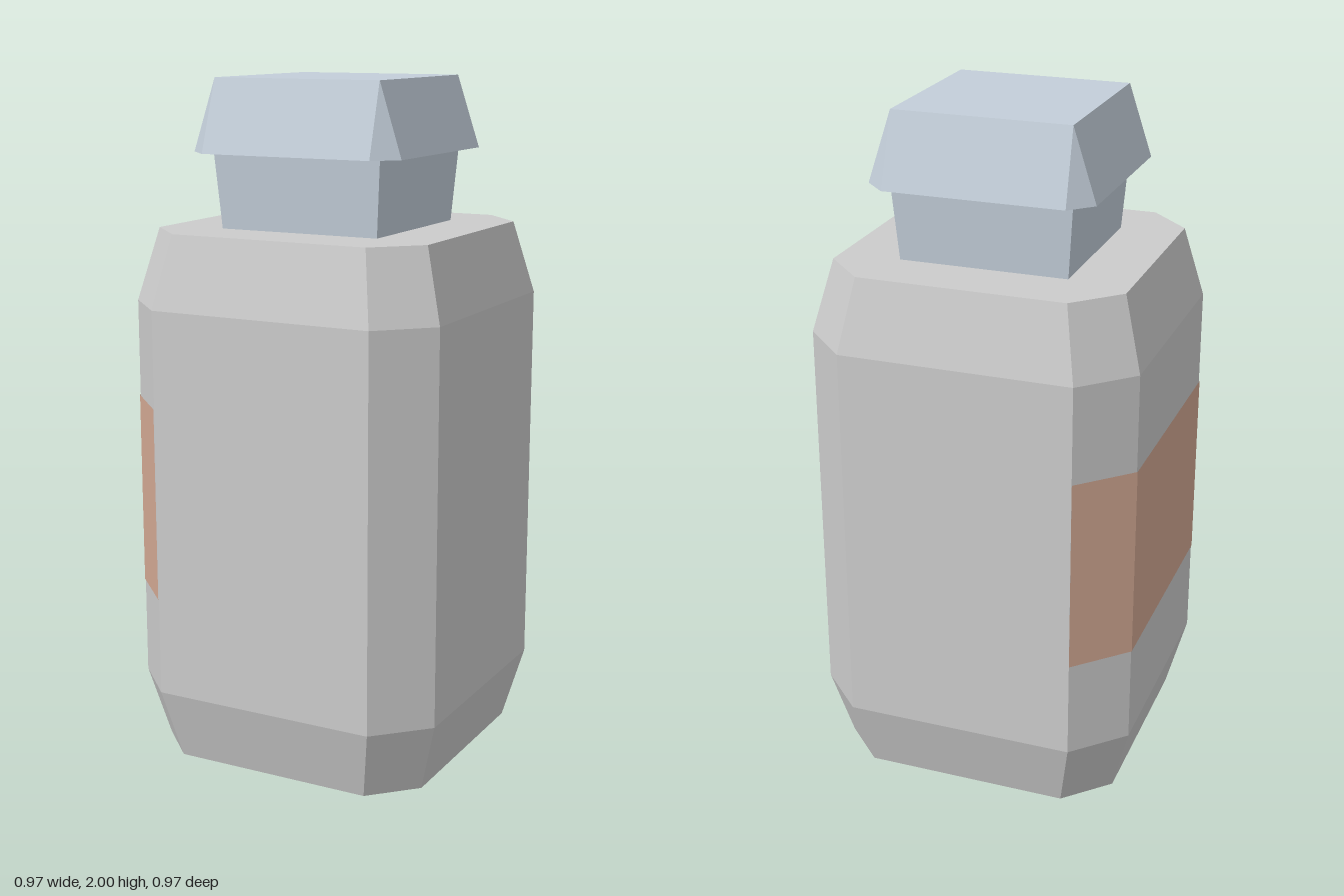
import * as THREE from 'three';

// Square ring of half-width h whose corners are cut at c (c = h gives a sharp corner)
const ring = (h, c, y) =>
  [[h, c], [h, -c], [c, -h], [-c, -h], [-h, -c], [-h, c], [-c, h], [c, h]]
    .map(([x, z]) => new THREE.Vector3(x, y, z));

// Joins rings from bottom to top; closed lofts also get flat end faces
function loft(rings, closed = true) {
  const pos = [];
  const tri = (a, b, c) => {
    const area = b.clone().sub(a).cross(c.clone().sub(a)).length();
    if (area > 1e-7) for (const p of [a, b, c]) pos.push(p.x, p.y, p.z);
  };
  for (let r = 0; r < rings.length - 1; r++) {
    const lo = rings[r], hi = rings[r + 1], n = lo.length;
    for (let i = 0; i < (closed ? n : n - 1); i++) {
      const j = (i + 1) % n;
      tri(lo[i], lo[j], hi[j]);
      tri(lo[i], hi[j], hi[i]);
    }
  }
  if (closed) {
    const bottom = rings[0], top = rings[rings.length - 1];
    for (let i = 1; i < top.length - 1; i++) {
      tri(top[0], top[i], top[i + 1]);
      tri(bottom[0], bottom[i + 1], bottom[i]);
    }
  }
  const geometry = new THREE.BufferGeometry();
  geometry.setAttribute('position', new THREE.Float32BufferAttribute(pos, 3));
  geometry.computeVertexNormals();
  return geometry;
}

export function createModel() {
  const group = new THREE.Group();
  const add = (name, geometry, material) => {
    const mesh = new THREE.Mesh(geometry, material);
    mesh.name = name;
    group.add(mesh);
  };
  const grey = new THREE.MeshStandardMaterial({ color: 0xcccccc, flatShading: true });
  const blue = new THREE.MeshStandardMaterial({ color: 0xc3ced9, flatShading: true });
  const tan = new THREE.MeshStandardMaterial({ color: 0xd2a893, flatShading: true, side: THREE.DoubleSide });

  // Bottle body with cut corners and tapered ends
  add('body', loft([
    ring(0.428, 0.304, 0), ring(0.484, 0.342, 0.212),
    ring(0.484, 0.342, 1.36), ring(0.428, 0.304, 1.572),
  ]), grey);

  // Square neck, slightly wider at the top
  add('neck', loft([ring(0.248, 0.248, 1.572), ring(0.264, 0.264, 1.79)]), blue);

  // Flared cap: cut corners at the rim run up to sharp corners at the top
  add('cap', loft([ring(0.329, 0.264, 1.79), ring(0.26, 0.26, 2)]), blue);

  // Label wrapping the -x side and its two cut corners
  add('label', loft([0.502, 1.075].map(y => ring(0.486, 0.343, y).slice(3, 7)), false), tan);

  return group;
}
